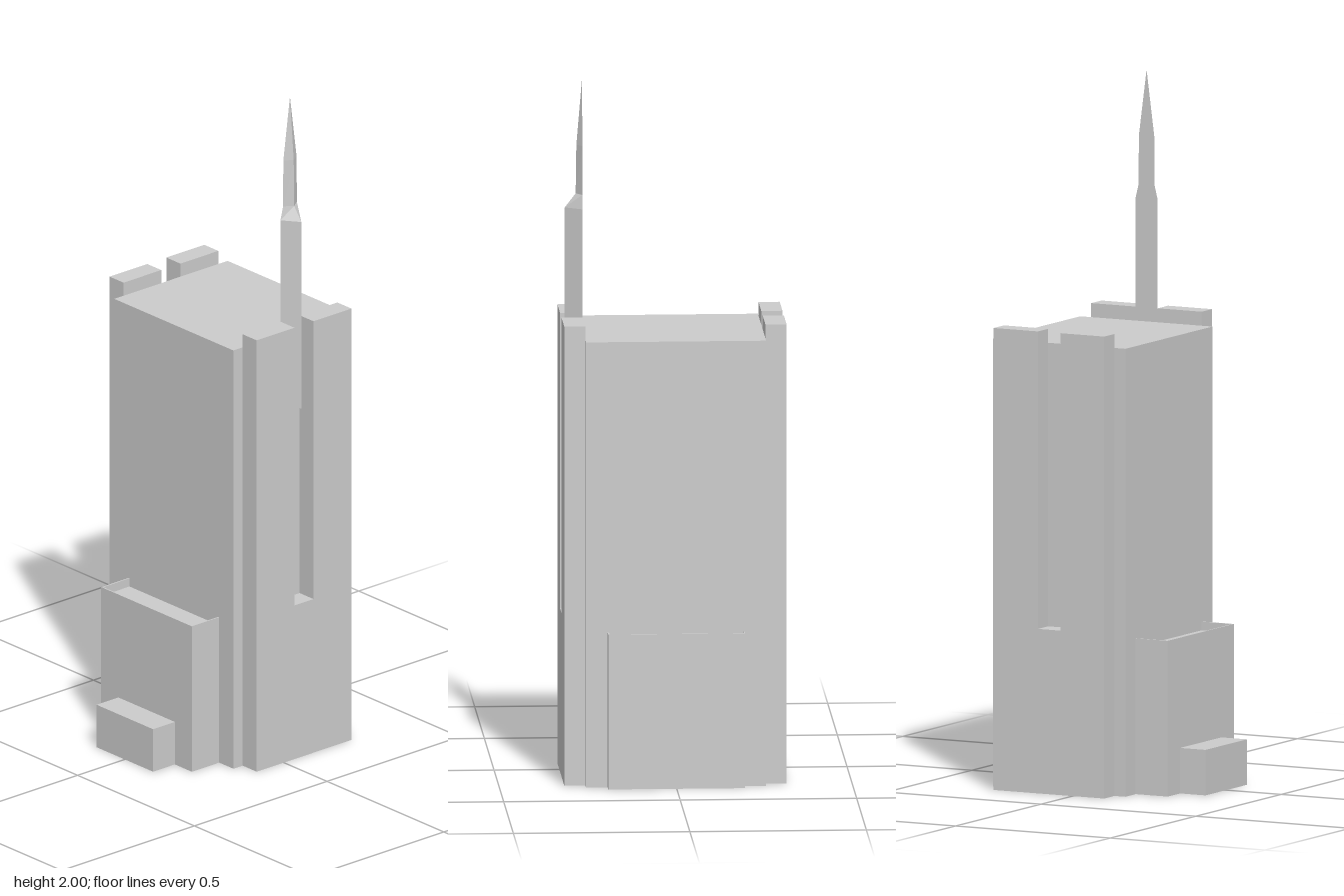
import * as THREE from 'three';

const material = new THREE.MeshStandardMaterial({ color: 0xcccccc, flatShading: true, side: THREE.DoubleSide });

// Main dimensions
const WALL_X = 0.255, SLAB_X = 0.315, FRONT = 0.137, BACK = -0.29;
const ROOF = 1.28, SLAB_TOP = 1.32, SLAB_F = 0.102, SLAB_B = -0.255;
const SLOT_F = -0.04, SLOT_B = -0.112, SLOT_Y = 0.47;

function addMesh(parent, name, geometry) {
  const mesh = new THREE.Mesh(geometry, material);
  mesh.name = name;
  parent.add(mesh);
  return mesh;
}

// Skins a list of cross-sections that have equal point counts
function loft(sections, closed = false) {
  const pos = [];
  for (let s = 0; s < sections.length - 1; s++) {
    const a = sections[s], b = sections[s + 1], n = a.length;
    for (let i = 0; i < (closed ? n : n - 1); i++) {
      const j = (i + 1) % n;
      pos.push(...a[i], ...a[j], ...b[j], ...a[i], ...b[j], ...b[i]);
    }
  }
  const g = new THREE.BufferGeometry();
  g.setAttribute('position', new THREE.Float32BufferAttribute(pos, 3));
  g.computeVertexNormals();
  return g;
}

// Upright panel at constant x
const sidePanel = (x, z0, z1, y0, y1) => loft([
  [[x, y0, z0], [x, y0, z1]], [[x, y1, z0], [x, y1, z1]],
]);

// Hollow side slab with a deep slot cut down from its top
function sideSlab(s) {
  const group = new THREE.Group();
  group.name = s > 0 ? 'leftSlab' : 'rightSlab';
  const outline = [
    [SLAB_F, 0], [SLAB_F, SLAB_TOP], [SLOT_F, SLAB_TOP], [SLOT_F, SLOT_Y],
    [SLOT_B, SLOT_Y], [SLOT_B, SLAB_TOP], [SLAB_B, SLAB_TOP], [SLAB_B, 0],
  ];
  const at = (x) => outline.map(([z, y]) => [s * x, y, z]);
  addMesh(group, 'slabEdges', loft(s > 0 ? [at(WALL_X), at(SLAB_X)] : [at(SLAB_X), at(WALL_X)]));

  const face = new THREE.ShapeGeometry(new THREE.Shape(outline.map(([z, y]) => new THREE.Vector2(-z, y))));
  face.rotateY(Math.PI / 2);
  addMesh(group, 'slabFace', face).position.x = s * SLAB_X;

  // Tower wall beside the slab, behind the slot, and the slab's inner lips
  const x = s * WALL_X;
  [
    [SLAB_F, FRONT, 0, ROOF], [BACK, SLAB_B, 0, ROOF], [SLOT_B, SLOT_F, SLOT_Y, ROOF],
    [SLOT_F, SLAB_F, ROOF, SLAB_TOP], [SLAB_B, SLOT_B, ROOF, SLAB_TOP],
  ].forEach((p) => addMesh(group, 'innerWall', sidePanel(x, ...p)));
  return group;
}

// Block with a thin rim around a slightly recessed top
function rimmedBlock(name, halfWidth, depth, height) {
  const group = new THREE.Group();
  group.name = name;
  const t = 0.004, w = halfWidth;
  const rim = new THREE.Shape([
    [-w, 0], [-w, -depth], [w, -depth], [w, 0], [w - t, 0],
    [w - t, t - depth], [t - w, t - depth], [t - w, 0],
  ].map(([x, y]) => new THREE.Vector2(x, y)));
  const walls = new THREE.ExtrudeGeometry(rim, { depth: height, bevelEnabled: false });
  walls.rotateX(-Math.PI / 2);
  addMesh(group, 'blockRim', walls);
  const coreHeight = height - 0.025;
  const core = new THREE.BoxGeometry(2 * (w - t), coreHeight, depth - t);
  addMesh(group, 'blockCore', core).position.set(0, coreHeight / 2, (depth - t) / 2);
  return group;
}

export function createModel() {
  const model = new THREE.Group();
  model.name = 'tower';

  // Tower shell, open underneath
  addMesh(model, 'towerShell', loft([
    [[-WALL_X, 0, FRONT], [-WALL_X, ROOF, FRONT], [-WALL_X, ROOF, BACK], [-WALL_X, 0, BACK]],
    [[WALL_X, 0, FRONT], [WALL_X, ROOF, FRONT], [WALL_X, ROOF, BACK], [WALL_X, 0, BACK]],
  ].reverse()));
  model.add(sideSlab(1), sideSlab(-1));

  // Front and back annexes
  const annex = rimmedBlock('frontAnnex', 0.194, 0.103, 0.445);
  annex.position.z = FRONT;
  const rear = rimmedBlock('backAnnex', 0.194, 0.033, 0.445);
  rear.position.z = BACK;
  rear.rotation.y = Math.PI;
  model.add(annex, rear);

  // Entrance block
  addMesh(model, 'entrance', new THREE.BoxGeometry(0.242, 0.13, 0.082)).position.set(0, 0.065, 0.281);

  // Three-sided spire standing in the left slot
  const zc = (SLOT_F + SLOT_B) / 2;
  const tri = (y, depth, half) => [
    [WALL_X, y, zc + half], [WALL_X + depth, y, zc], [WALL_X, y, zc - half],
  ];
  addMesh(model, 'spire', loft([
    tri(1.06, 0, 0), tri(1.06, 0.049, 0.036), tri(1.63, 0.049, 0.036),
    tri(1.67, 0.018, 0.026), tri(1.81, 0.016, 0.025), tri(2, 0, 0),
  ], true));
  return model;
}
